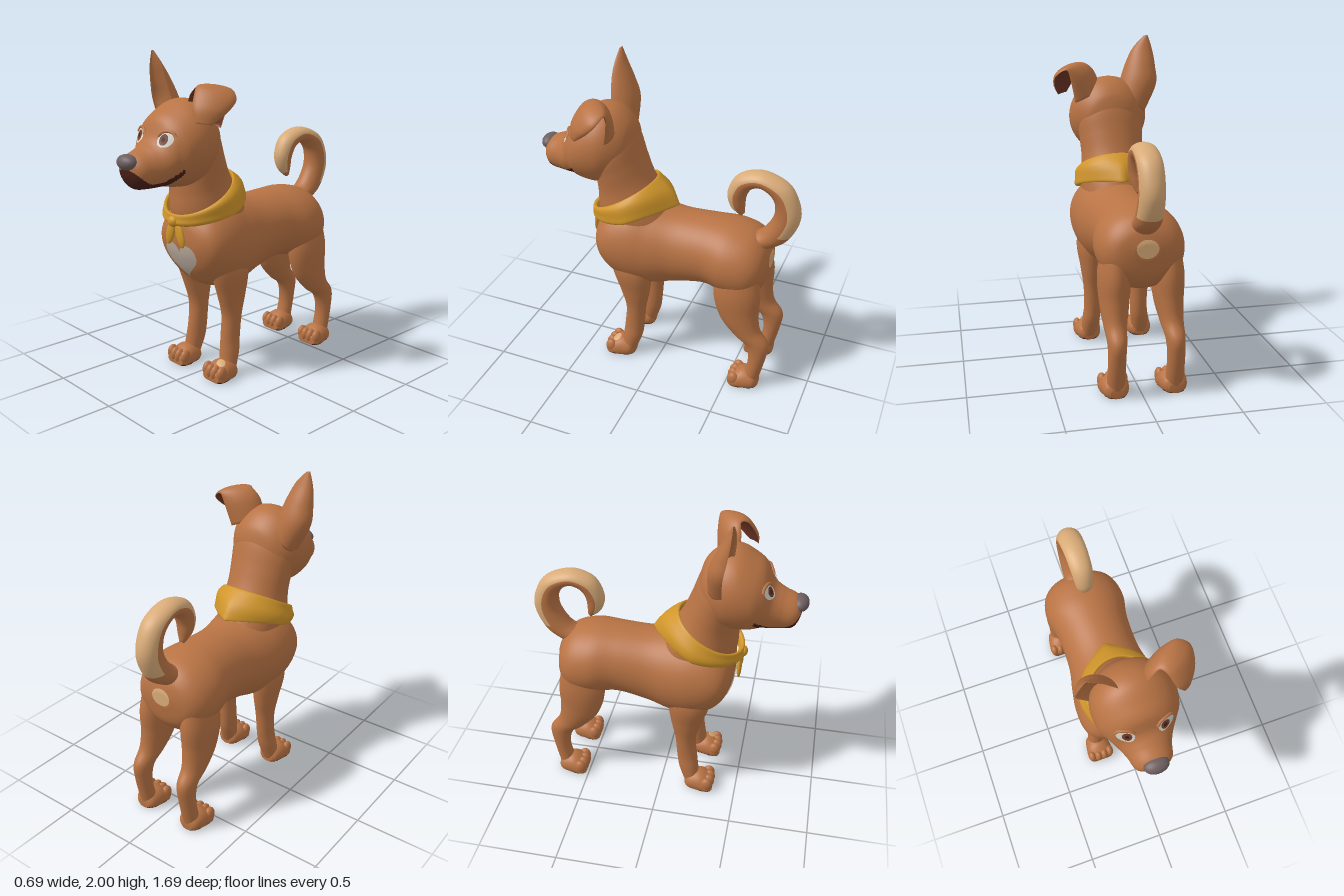
import * as THREE from 'three';

const CX = -0.023; // body midline
const mat = (name, color) => Object.assign(new THREE.MeshStandardMaterial({ color, side: THREE.DoubleSide }), { name });

// Catmull-Rom resampling of rows of numbers
function resample(rows, count) {
  const out = [];
  const last = rows.length - 1;
  for (let k = 0; k <= count; k++) {
    const f = (k / count) * last;
    const i = Math.min(Math.floor(f), last - 1);
    const t = f - i;
    const [a, b, c, d] = [rows[Math.max(i - 1, 0)], rows[i], rows[i + 1], rows[Math.min(i + 2, last)]];
    out.push(b.map((v, q) => 0.5 * (2 * v + (c[q] - a[q]) * t + (2 * a[q] - 5 * v + 4 * c[q] - d[q]) * t * t
      + (3 * v - a[q] - 3 * c[q] + d[q]) * t * t * t)));
  }
  return out;
}

// Solid skin over rings of points; paint(centre, u, v) picks the material index
function skin(name, rings, mats, paint = () => 0, closed = false) {
  const n = rings[0].length, m = rings.length, pts = rings.flat();
  const buckets = mats.map(() => []);
  let volume = 0;
  const add = (slot, a, b, c) => {
    buckets[slot].push([a, b, c]);
    volume += pts[a].dot(new THREE.Vector3().crossVectors(pts[b], pts[c]));
  };
  for (let i = 0; i < (closed ? m : m - 1); i++) {
    for (let j = 0; j < n; j++) {
      const k = (j + 1) % n, i2 = (i + 1) % m;
      const [a, b, c, d] = [i * n + j, i * n + k, i2 * n + k, i2 * n + j];
      const mid = pts[a].clone().add(pts[c]).multiplyScalar(0.5);
      const slot = paint(mid, i / (m - 1), (j + 0.5) / n);
      add(slot, a, b, c);
      add(slot, a, c, d);
    }
  }
  if (!closed) {
    for (const end of [0, m - 1]) {
      const centre = rings[end].reduce((s, p) => s.add(p), new THREE.Vector3()).divideScalar(n);
      pts.push(centre);
      const slot = paint(centre, end ? 1 : 0, 0.25);
      for (let j = 0; j < n; j++) {
        const a = end * n + j, b = end * n + (j + 1) % n;
        if (end) add(slot, a, b, pts.length - 1);
        else add(slot, b, a, pts.length - 1);
      }
    }
  }
  const g = new THREE.BufferGeometry().setFromPoints(pts);
  const index = [];
  buckets.forEach((tris, s) => {
    if (tris.length) g.addGroup(index.length, tris.length * 3, s);
    tris.forEach(([a, b, c]) => index.push(...(volume < 0 ? [a, c, b] : [a, b, c])));
  });
  g.setIndex(index);
  g.computeVertexNormals();
  const mesh = new THREE.Mesh(g, mats);
  mesh.name = name;
  return mesh;
}

// Rings spanning two side-profile points: [za, ya, zb, yb, half width, sideways offset]
function profileRings(rows, count, n, side = 0, minY = -1) {
  return resample(rows, count).map(([za, ya, zb, yb, w, off = 0]) => Array.from({ length: n }, (_, j) => {
    const t = (j / n) * Math.PI * 2, s = Math.sin(t) / 2;
    return new THREE.Vector3(CX + side * off + Math.cos(t) * w,
      Math.max(minY, (ya + yb) / 2 + s * (yb - ya)), (za + zb) / 2 + s * (zb - za));
  }));
}

// Crescent shell rings from edge to edge: [left xyz, right xyz, bulge xyz]
function earRings(rows, inner) {
  const n = 32;
  return resample(rows, 30).map((r) => {
    const l = new THREE.Vector3(...r.slice(0, 3)), e = new THREE.Vector3(...r.slice(3, 6)), d = new THREE.Vector3(...r.slice(6));
    return Array.from({ length: n }, (_, j) => {
      const t = (j / n) * Math.PI * 2, s = Math.sin(t);
      return l.clone().lerp(e, 0.5 + 0.5 * Math.cos(t)).addScaledVector(d, s > 0 ? s : -s * inner);
    });
  });
}

// Drops a point onto the target meshes along a direction
function project(targets, dir, u, v, lift) {
  const from = dir.y ? new THREE.Vector3(u, 3, v) : new THREE.Vector3(u, v, -3 * dir.z);
  const hit = new THREE.Raycaster(from, dir).intersectObjects(targets, false)[0];
  return hit ? hit.point.addScaledVector(dir, -lift) : null;
}

// Thin painted patch laid over a surface
function decal(name, material, targets, dir, cu, cv, outline, lift = 0.005) {
  const n = 40, K = 6, pts = [project(targets, dir, cu, cv, lift)], index = [];
  for (let k = 1; k <= K; k++) {
    for (let j = 0; j < n; j++) {
      const [x, y] = outline((j / n) * Math.PI * 2);
      pts.push(project(targets, dir, cu + x * k / K, cv + y * k / K, lift) || pts[Math.max(0, pts.length - n)].clone());
      const a = 1 + (k - 1) * n + j, b = 1 + (k - 1) * n + (j + 1) % n;
      if (k === 1) index.push(0, a, b);
      else index.push(a - n, a, b, a - n, b, b - n);
    }
  }
  const g = new THREE.BufferGeometry().setFromPoints(pts);
  g.setIndex(index);
  g.computeVertexNormals();
  const mesh = new THREE.Mesh(g, material);
  mesh.name = name;
  return mesh;
}
const oval = (a, b) => (t) => [a * Math.cos(t), b * Math.sin(t)];

export function createModel() {
  const dog = new THREE.Group();
  dog.name = 'dog';
  const fur = mat('fur', 0xb87344), tan = mat('tan fur', 0xd9ab78), pale = mat('pale chest', 0xb9aa9c);
  const dark = mat('dark mouth and pads', 0x4a2018), cloth = mat('bandana', 0xd0952a), noseMat = mat('nose', 0x6e5e60);
  const white = mat('eye white', 0xd6d2cb), iris = mat('iris', 0x74402a), innerEar = mat('inner ear', 0x6a3424);
  const add = (mesh) => { dog.add(mesh); return mesh; };
  const blob = (name, m, x, y, z, sx, sy, sz, rz = 0) => {
    const b = add(new THREE.Mesh(new THREE.SphereGeometry(1, 24, 16), m));
    b.name = name;
    b.position.set(x, y, z);
    b.scale.set(sx, sy, sz);
    b.rotation.z = rz;
  };

  // Torso, neck and head
  const torso = add(skin('torso', profileRings([
    [-.685, .92, -.685, .82, .07], [-.655, 1, -.66, .7, .18], [-.58, 1.065, -.58, .62, .245], [-.45, 1.095, -.45, .62, .264],
    [-.3, 1.095, -.3, .645, .235], [-.1, 1.09, -.1, .6, .235], [.05, 1.11, .05, .555, .265], [.18, 1.14, .18, .55, .285],
    [.3, 1.12, .3, .595, .28], [.38, 1.06, .38, .68, .245], [.425, .99, .425, .78, .165], [.44, .92, .44, .86, .05]], 88, 64), [fur]));
  const neck = add(skin('neck', profileRings([
    [.4, .88, -.1, .93, .2], [.445, 1.05, 0, 1.11, .215], [.45, 1.18, .1, 1.28, .2], [.455, 1.27, .155, 1.41, .205],
    [.47, 1.36, .2, 1.54, .21], [.46, 1.45, .25, 1.64, .17]], 40, 48), [fur]));
  const mouth = (p) => {
    const top = 1.285 + 5 * (p.z - 0.68) ** 2;
    return p.z > 0.545 && p.y < top && p.y > top - 0.04 - (p.z - 0.545) * 0.8 ? 1 : 0;
  };
  const head = add(skin('head', profileRings([
    [.2, 1.53, .2, 1.4, .07], [.235, 1.64, .26, 1.3, .165], [.32, 1.72, .36, 1.24, .235], [.42, 1.738, .44, 1.225, .252],
    [.52, 1.69, .53, 1.235, .237], [.59, 1.635, .58, 1.245, .2], [.64, 1.53, .63, 1.245, .165], [.7, 1.485, .69, 1.245, .135],
    [.77, 1.455, .755, 1.252, .115], [.802, 1.43, .788, 1.285, .085], [.815, 1.4, .808, 1.33, .03]], 130, 88), [fur, dark], mouth));
  blob('nose', noseMat, CX, 1.412, .798, .076, .046, .052);

  // Tail with a pale outer stripe
  add(skin('tail', profileRings([
    [-.645, .95, -.53, 1.04, .08], [-.775, 1.04, -.61, 1.08, .078], [-.842, 1.19, -.675, 1.18, .075], [-.82, 1.32, -.685, 1.27, .075],
    [-.745, 1.42, -.655, 1.335, .075], [-.59, 1.47, -.595, 1.37, .072], [-.45, 1.425, -.535, 1.345, .068], [-.39, 1.31, -.505, 1.285, .06],
    [-.41, 1.21, -.5, 1.225, .045], [-.475, 1.15, -.5, 1.17, .016]], 80, 36), [fur, tan],
  (p, u, v) => (u > 0.13 && u < 0.93 && Math.sin(v * Math.PI * 2) < -0.2 ? 1 : 0)));

  // Legs and paws
  const foreRows = [[.34, .86, .05, .86, .07, .15], [.31, .68, .045, .68, .09, .165], [.262, .53, .062, .53, .075, .162],
    [.225, .39, .09, .39, .06, .158], [.235, .25, .105, .23, .055, .158], [.245, .16, .12, .14, .058, .165], [.26, .05, .16, .03, .055, .175]];
  const hindRows = [[-.43, .92, -.62, .95, .06, .15], [-.375, .7, -.672, .72, .095, .158], [-.42, .51, -.672, .56, .086, .162],
    [-.52, .39, -.69, .44, .068, .168], [-.605, .32, -.752, .345, .056, .172], [-.63, .2, -.742, .23, .052, .175], [-.6, .05, -.7, .03, .055, .175]];
  const pawRows = [[.165, .06, .165, 0, .04, .175], [.19, .1, .19, -.02, .07, .175], [.26, .118, .26, -.04, .086, .175],
    [.32, .09, .32, -.04, .088, .175], [.35, .06, .35, -.01, .07, .175]];
  let markedPaw;
  for (const side of [-1, 1]) {
    const tag = side > 0 ? 'left' : 'right';
    for (const [kind, rows, shift] of [['Front', foreRows, 0], ['Hind', hindRows, -.868]]) {
      add(skin(`${tag}${kind}Leg`, profileRings(rows, 44, 32, side), [fur]));
      const paw = add(skin(`${tag}${kind}Paw`, profileRings(
        pawRows.map(([a, b, c, d, w, o]) => [a + shift, b, c + shift, d, w, o]), 24, 40, side, 0), [fur, dark], (p) => (p.y < 0.008 ? 1 : 0)));
      if (side > 0 && !shift) markedPaw = paw;
      for (const k of [-1.5, -.5, .5, 1.5]) {
        blob('toe', fur, CX + side * .175 + k * .043, .054, .328 + shift - Math.abs(k) * .009, .027, .047, .038);
      }
    }
  }

  // Upright right ear, folded left ear
  add(skin('uprightEar', earRings([
    [-.25, 1.5, .36, -.09, 1.66, .4, 0, 0, -.11], [-.335, 1.68, .37, -.113, 1.74, .41, 0, 0, -.11],
    [-.335, 1.8, .39, -.152, 1.84, .42, 0, 0, -.085], [-.318, 1.91, .405, -.195, 1.92, .42, 0, 0, -.045],
    [-.29, 2, .41, -.265, 1.995, .415, 0, 0, -.01]], 0.6), [fur]));
  add(skin('foldedEar', earRings([
    [.03, 1.65, .42, .21, 1.58, .31, -.03, .02, -.07], [.07, 1.76, .42, .24, 1.71, .28, -.02, .03, -.05],
    [.12, 1.815, .41, .27, 1.79, .27, 0, .025, -.01], [.155, 1.8, .45, .335, 1.75, .3, .02, .03, .02],
    [.19, 1.71, .5, .335, 1.69, .36, .03, .01, .03], [.235, 1.63, .51, .3, 1.62, .45, .01, 0, .01]], 0.35),
  [fur, innerEar], (p, u, v) => (v > 0.53 && v < 0.97 ? 1 : 0)));

  // Bandana: a sloping band, pointed at the back, with knot and two tails
  const band = Array.from({ length: 72 }, (_, i) => {
    const f = (i / 72) * Math.PI * 2, c = Math.cos(f), s = Math.sin(f);
    const back = c < 0 ? -(0.5 * (1 - Math.abs(s)) + 0.5 * -c) : c;
    const up = new THREE.Vector3(CX + .215 * s, 1.172 - .115 * c, .275 + .195 * c);
    const low = new THREE.Vector3(CX + .25 * s, 1.06 - .07 * c, .2 + .28 * back);
    const out = new THREE.Vector3(s, 0.5, c).normalize();
    return Array.from({ length: 20 }, (_, j) => {
      const t = (j / 20) * Math.PI * 2;
      const fold = 1 + 0.25 * Math.sin(3 * t + f);
      return up.clone().lerp(low, 0.5 + 0.5 * Math.cos(t)).addScaledVector(out, .022 * Math.sin(t) * fold);
    });
  });
  add(skin('bandana', band, [cloth], () => 0, true));
  blob('bandanaKnot', cloth, CX, 1.015, .483, .038, .034, .028);
  for (const s of [-1, 1]) blob('bandanaTail', cloth, CX + s * .045, .935, .468, .034, .08, .016, s * .32);

  // Painted patches and eyes
  dog.updateMatrixWorld(true);
  const back = new THREE.Vector3(0, 0, -1), ahead = new THREE.Vector3(0, 0, 1), down = new THREE.Vector3(0, -1, 0);
  add(decal('chestHeart', pale, [torso, neck], back, CX, .77, (t) => [.14 * Math.sin(t) ** 3,
    .0081 * (13 * Math.cos(t) - 5 * Math.cos(2 * t) - 2 * Math.cos(3 * t) - Math.cos(4 * t))], .006));
  add(decal('rumpPatch', tan, [torso], ahead, CX, .885, oval(.065, .055), .006));
  add(decal('pawMark', tan, [markedPaw], down, CX + .2, .285, oval(.03, .025), .005));
  for (const s of [-1, 1]) {
    const ex = CX + s * .118, ey = 1.533;
    add(decal('eyeWhite', white, [head], back, ex, ey, oval(.05, .042), .004));
    add(decal('iris', iris, [head], back, ex - s * .006, ey, oval(.027, .031), .007));
    add(decal('pupil', dark, [head], back, ex - s * .006, ey, oval(.012, .014), .0095));
    const arc = [.1, .3, .5, .7, .9].map((k) => project([head], back,
      ex + .056 * Math.cos(k * Math.PI), ey + .046 * Math.sin(k * Math.PI), .002)).filter(Boolean);
    const lid = add(new THREE.Mesh(new THREE.TubeGeometry(new THREE.CatmullRomCurve3(arc), 20, .01, 8), fur));
    lid.name = 'upperEyelid';
  }
  return dog;
}
